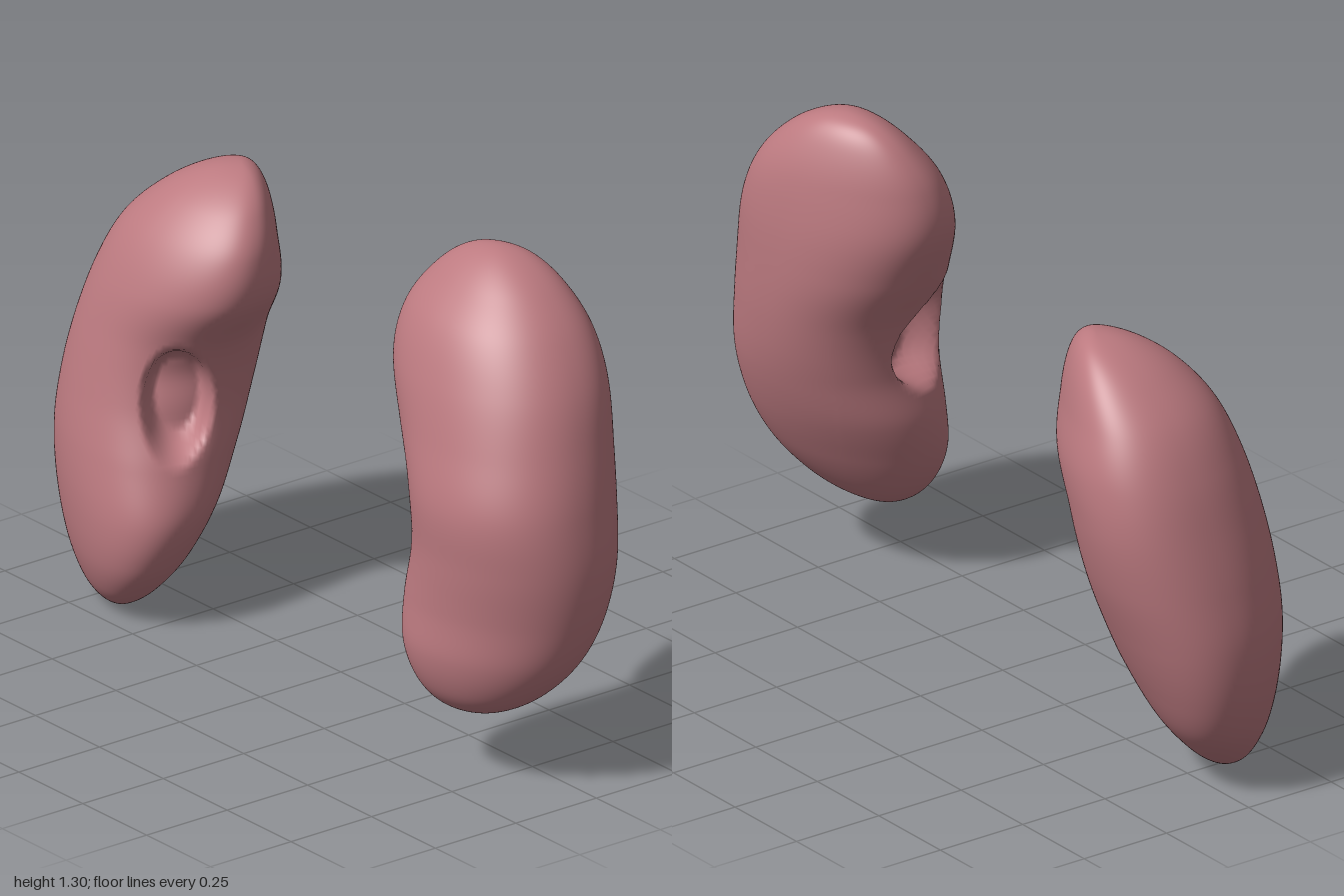
import * as THREE from 'three';

const ROWS = 120, SIDES = 132;

// Uniform Catmull-Rom interpolation through a list of values, t in 0..1
function spline(keys, t) {
  const n = keys.length - 1;
  const i = Math.min(Math.floor(t * n), n - 1), f = t * n - i;
  const p1 = keys[i], p2 = keys[i + 1];
  const p0 = i > 0 ? keys[i - 1] : 2 * p1 - p2;
  const p3 = i < n - 1 ? keys[i + 2] : 2 * p2 - p1;
  return 0.5 * (2 * p1 + (p2 - p0) * f + (2 * p0 - 5 * p1 + 4 * p2 - p3) * f * f
    + (3 * p1 - p0 - 3 * p2 + p3) * f * f * f);
}

// Rounded outline, tapered and skewed toward the medial side, filling -1..1 in both axes
function unitSection(taper, skew) {
  const soft = v => Math.sign(v) * Math.pow(Math.abs(v), 0.94);
  const pts = [];
  for (let j = 0; j < SIDES; j++) {
    const a = (j / SIDES) * Math.PI * 2;
    const m = soft(Math.cos(a));
    pts.push([m, soft(Math.sin(a)) * (1 - taper * m) + skew * m]);
  }
  const zs = pts.map(p => p[1]);
  const lo = Math.min(...zs), hi = Math.max(...zs);
  return pts.map(([m, z]) => [m, (2 * (z - lo)) / (hi - lo) - 1]);
}

// Hollow at the hilum: a steep-walled oval pocket with an uneven floor
function pressHilum(p, h) {
  const nx = Math.cos(h.angle), nz = -Math.sin(h.angle);
  const dx = p.x - h.x, dy = p.y - h.y, dz = p.z - h.z;
  if (dx * nx + dz * nz > 0.2) return;
  const across = (dx * -nz + dz * nx) / h.width, along = dy / h.height;
  const r = Math.hypot(across, along);
  const pocket = 1 - THREE.MathUtils.smoothstep(r, 0.65, 1.08);
  const ripple = 1 + 0.04 * Math.sin(dy * 45);
  const push = h.depth * pocket * ripple + 0.01 * Math.exp(-r * r * 0.6);
  p.x += nx * push;
  p.z += nz * push;
}

// Lofted bean; the profile lists are spaced evenly by angle from bottom pole to top pole
function kidneyGeometry(k) {
  const pos = [], index = [], p = new THREE.Vector3();
  for (let i = 0; i <= ROWS; i++) {
    const t = i / ROWS;
    const y = k.base + (k.height * (1 - Math.cos(Math.PI * t))) / 2;
    const xi = spline(k.inner, t), xo = spline(k.outer, t);
    const zb = spline(k.back, t), zf = spline(k.front, t);
    for (const [m, z] of unitSection(spline(k.taper, t), spline(k.skew, t))) {
      p.set((xi + xo) / 2 - ((xo - xi) / 2) * m, y, (zf + zb) / 2 + ((zf - zb) / 2) * z);
      pressHilum(p, k.hilum);
      pos.push(p.x * k.side, p.y, p.z);
    }
  }
  // Each pole row shares one vertex
  const id = (i, j) => i * SIDES + (i === 0 || i === ROWS ? 0 : j % SIDES);
  const tri = (a, b, c) => {
    if (a === b || b === c || a === c) return;
    if (k.side > 0) index.push(a, b, c);
    else index.push(a, c, b);
  };
  for (let i = 0; i < ROWS; i++) {
    for (let j = 0; j < SIDES; j++) {
      const a = id(i, j), b = id(i, j + 1), c = id(i + 1, j + 1), d = id(i + 1, j);
      tri(a, b, c);
      tri(a, c, d);
    }
  }
  const g = new THREE.BufferGeometry();
  g.setAttribute('position', new THREE.Float32BufferAttribute(pos, 3));
  g.setIndex(index);
  g.computeVertexNormals();
  return g;
}

export function createModel() {
  const group = new THREE.Group();
  group.name = 'kidneys';
  const material = new THREE.MeshStandardMaterial({ color: 0xbc7a80 });

  // inner/outer are distances from the midline, front/back are depths
  const kidneys = [
    {
      name: 'leftKidney', side: 1, base: 0.17, height: 1.135,
      inner: [0.68, 0.61, 0.55, 0.505, 0.48, 0.48, 0.45, 0.38, 0.333, 0.345, 0.395, 0.465, 0.56],
      outer: [0.68, 0.785, 0.875, 0.945, 0.985, 1.0, 0.985, 0.95, 0.905, 0.835, 0.745, 0.65, 0.56],
      back: [0.14, 0.075, 0.005, -0.065, -0.125, -0.17, -0.195, -0.205, -0.205, -0.19, -0.155, -0.11, -0.05],
      front: [0.14, 0.2, 0.245, 0.27, 0.267, 0.27, 0.275, 0.245, 0.21, 0.16, 0.085, 0.015, -0.05],
      taper: [0.05, 0.02, 0, 0.15, 0.2], skew: [0.38, 0.33, 0.03, 0.2, 0.15],
      hilum: { x: 0.5, y: 0.69, z: 0.14, angle: 0.75, width: 0.1, height: 0.15, depth: 0.09 },
    },
    {
      name: 'rightKidney', side: -1, base: 0, height: 1.135,
      inner: [0.7, 0.62, 0.535, 0.46, 0.42, 0.435, 0.455, 0.43, 0.35, 0.345, 0.39, 0.46, 0.54],
      outer: [0.7, 0.8, 0.88, 0.95, 0.99, 1.0, 0.98, 0.945, 0.9, 0.835, 0.74, 0.64, 0.54],
      back: [0.14, 0.07, -0.01, -0.09, -0.15, -0.205, -0.255, -0.285, -0.288, -0.26, -0.225, -0.18, -0.12],
      front: [0.14, 0.195, 0.245, 0.28, 0.29, 0.275, 0.245, 0.215, 0.185, 0.135, 0.06, -0.03, -0.12],
      taper: [0.05, 0.02, 0.02, 0.25, 0.3], skew: [0.65, 0.52, 0.18, 0.24, 0.2],
      hilum: { x: 0.49, y: 0.58, z: 0.12, angle: 0.65, width: 0.085, height: 0.145, depth: 0.09 },
    },
  ];
  for (const k of kidneys) {
    const mesh = new THREE.Mesh(kidneyGeometry(k), material);
    mesh.name = k.name;
    group.add(mesh);
  }
  return group;
}
